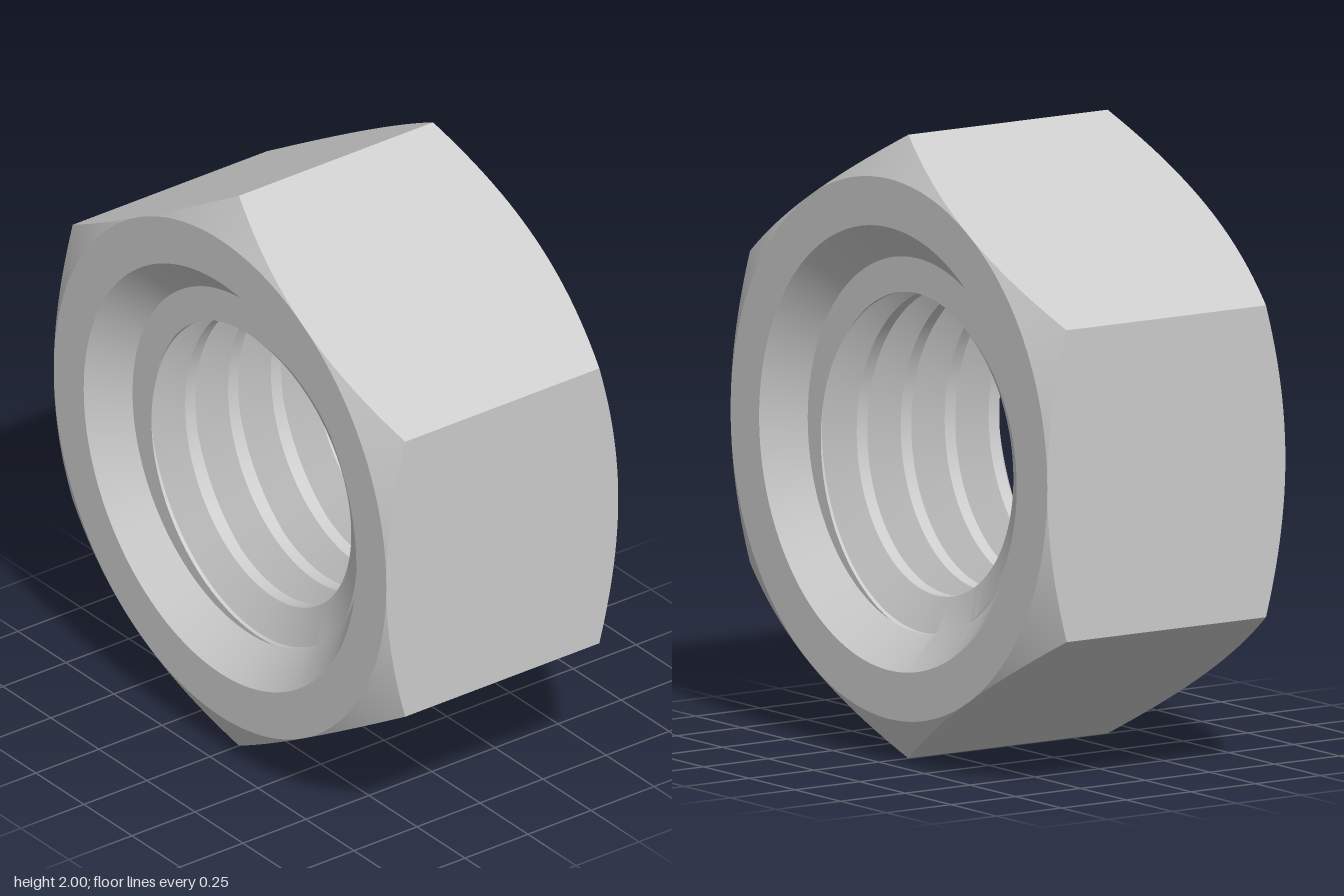
import * as THREE from 'three';
import { toCreasedNormals } from 'three/addons/utils/BufferGeometryUtils.js';

const SEGMENTS = 144;
const APOTHEM = 0.866;      // centre to flat of the hexagon
const HALF = 0.46;          // half thickness
const ROOT = 0.6, CREST = 0.487, PITCH = 0.17;
const THREAD_END = 0.35;    // where the countersinks meet the thread

// Sweep a profile of [radius, z] points, which may change with the angle, around the z axis
function sweep(name, profile, material) {
  const columns = [];
  for (let i = 0; i <= SEGMENTS; i++) {
    const t = (i / SEGMENTS) * Math.PI * 2;
    columns.push(profile(t).map(([r, z]) =>
      new THREE.Vector3(r * Math.cos(t), r * Math.sin(t), z)));
  }
  const pos = [];
  const tri = (a, b, c) => {
    if (new THREE.Triangle(a, b, c).getArea() < 1e-8) return;
    for (const p of [a, b, c]) pos.push(p.x, p.y, p.z);
  };
  for (let i = 0; i < SEGMENTS; i++) {
    const p = columns[i], q = columns[i + 1];
    for (let j = 0; j < p.length - 1; j++) {
      tri(p[j], p[j + 1], q[j]);
      tri(q[j], p[j + 1], q[j + 1]);
    }
  }
  const geometry = new THREE.BufferGeometry();
  geometry.setAttribute('position', new THREE.Float32BufferAttribute(pos, 3));
  const mesh = new THREE.Mesh(toCreasedNormals(geometry, 0.4), material);
  mesh.name = name;
  return mesh;
}

// Hexagon with conically chamfered corners and flat ring faces
function bodyProfile(t) {
  const sector = Math.PI / 3;
  const local = t - Math.round(t / sector) * sector;
  const r = APOTHEM / Math.cos(local);
  const z = HALF - (r - APOTHEM) * 0.56;
  return [[0.71, HALF], [APOTHEM, HALF], [r, z], [r, -z], [APOTHEM, -HALF], [0.71, -HALF]];
}

// Countersinks at both ends with a right-hand helical thread between
const THREAD = [[-0.06, ROOT], [0.06, ROOT], [0.38, CREST], [0.62, CREST]];

function threadRadius(z, start) {
  const f = (z - start) / PITCH;
  const d = Math.abs(f - Math.round(f));   // distance from the groove, in pitches
  const k = THREE.MathUtils.clamp((d - 0.06) / 0.32, 0, 1);
  return ROOT + (CREST - ROOT) * k;
}

function boreProfile(t) {
  const start = THREAD_END + PITCH * (t / (Math.PI * 2) + 55 / 360);
  const points = [[0.71, -HALF], [ROOT, -THREAD_END]];
  const add = (z) => points.push([threadRadius(z, start), z]);
  add(-THREAD_END);
  for (let turn = -7; turn <= 1; turn++) {
    for (const [f] of THREAD) {
      add(THREE.MathUtils.clamp(start + PITCH * (turn + f), -THREAD_END, THREAD_END));
    }
  }
  add(THREAD_END);
  points.push([ROOT, THREAD_END], [0.71, HALF]);
  return points;
}

export function createModel() {
  const material = new THREE.MeshStandardMaterial({ color: 0xcccccc });
  const nut = new THREE.Group();
  nut.name = 'hexNut';
  nut.add(sweep('hexBody', bodyProfile, material));
  nut.add(sweep('threadedBore', boreProfile, material));
  nut.children.forEach((part) => { part.position.y = 1; });
  return nut;
}
